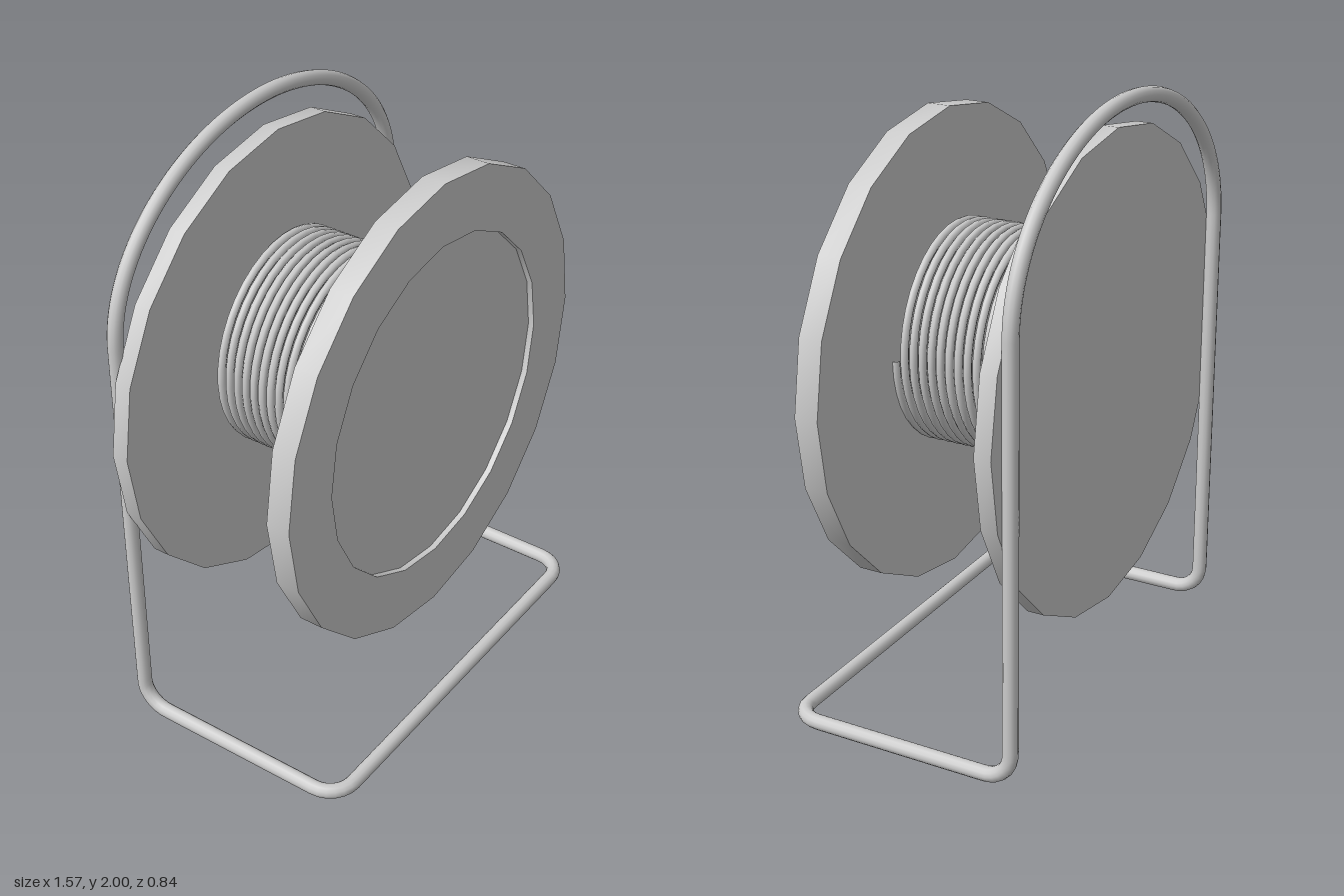
import * as THREE from 'three';
import { toCreasedNormals } from 'three/addons/utils/BufferGeometryUtils.js';

const material = new THREE.MeshStandardMaterial({ color: 0xcccccc });
const V = (x, y, z) => new THREE.Vector3(x, y, z);

function addMesh(group, name, geometry) {
  const mesh = new THREE.Mesh(geometry, material);
  mesh.name = name;
  group.add(mesh);
  return mesh;
}

// Disc turned around the z axis from [radius, z] points
function turnedDisc(profile) {
  const geometry = new THREE.LatheGeometry(profile.map(([r, z]) => new THREE.Vector2(r, z)), 20);
  geometry.rotateX(Math.PI / 2);
  return toCreasedNormals(geometry, 0.6);
}

// Closed wire path: arch, uprights and floor loop with rounded bends
function framePath() {
  const X = 0.71, Y = 0.028, Z = 0.395, top = 1.975, spring = 1.44, bend = 0.09, k = 0.5523;
  const path = new THREE.CurvePath();
  const rise = (top - spring) * k;
  const line = (a, b) => path.add(new THREE.LineCurve3(a, b));
  const corner = (a, c, b) => path.add(new THREE.CubicBezierCurve3(
    a, a.clone().lerp(c, k), b.clone().lerp(c, k), b));

  // right half of the arch, then down, forward, across, back and up
  path.add(new THREE.CubicBezierCurve3(V(0, top, -Z), V(X * k, top, -Z), V(X, spring + rise, -Z), V(X, spring, -Z)));
  line(V(X, spring, -Z), V(X, Y + bend, -Z));
  corner(V(X, Y + bend, -Z), V(X, Y, -Z), V(X, Y, -Z + bend));
  line(V(X, Y, -Z + bend), V(X, Y, Z - bend));
  corner(V(X, Y, Z - bend), V(X, Y, Z), V(X - bend, Y, Z));
  line(V(X - bend, Y, Z), V(-X + bend, Y, Z));
  corner(V(-X + bend, Y, Z), V(-X, Y, Z), V(-X, Y, Z - bend));
  line(V(-X, Y, Z - bend), V(-X, Y, -Z + bend));
  corner(V(-X, Y, -Z + bend), V(-X, Y, -Z), V(-X, Y + bend, -Z));
  line(V(-X, Y + bend, -Z), V(-X, spring, -Z));
  path.add(new THREE.CubicBezierCurve3(V(-X, spring, -Z), V(-X, spring + rise, -Z), V(-X * k, top, -Z), V(0, top, -Z)));
  return path;
}

// Cable wound between the two discs
class Helix extends THREE.Curve {
  constructor(radius, turns, zStart, zEnd) {
    super();
    Object.assign(this, { radius, turns, zStart, zEnd });
    this.arcLengthDivisions = 800;
  }
  getPoint(t, target = new THREE.Vector3()) {
    const a = -t * this.turns * Math.PI * 2;
    return target.set(this.radius * Math.cos(a), this.radius * Math.sin(a),
      THREE.MathUtils.lerp(this.zStart, this.zEnd, t));
  }
}

export function createModel() {
  const model = new THREE.Group();
  model.name = 'cableReel';

  const R = 0.785, hubY = 1.105;

  // Front disc with a shallow round recess
  addMesh(model, 'frontDisc', turnedDisc([
    [0, 0.21], [R, 0.21], [R, 0.29], [0.575, 0.29], [0.575, 0.27], [0, 0.27],
  ])).position.y = hubY;

  // Plain back disc
  addMesh(model, 'backDisc', turnedDisc([
    [0, -0.373], [R, -0.373], [R, -0.317], [0, -0.317],
  ])).position.y = hubY;

  // Wound cable
  const coil = new Helix(0.356, 16, 0.205, -0.308);
  addMesh(model, 'cableCoil', new THREE.TubeGeometry(coil, 640, 0.0135, 8, false)).position.y = 1.16;

  // Bent tube stand
  addMesh(model, 'standFrame', new THREE.TubeGeometry(framePath(), 320, 0.025, 12, true));

  return model;
}
